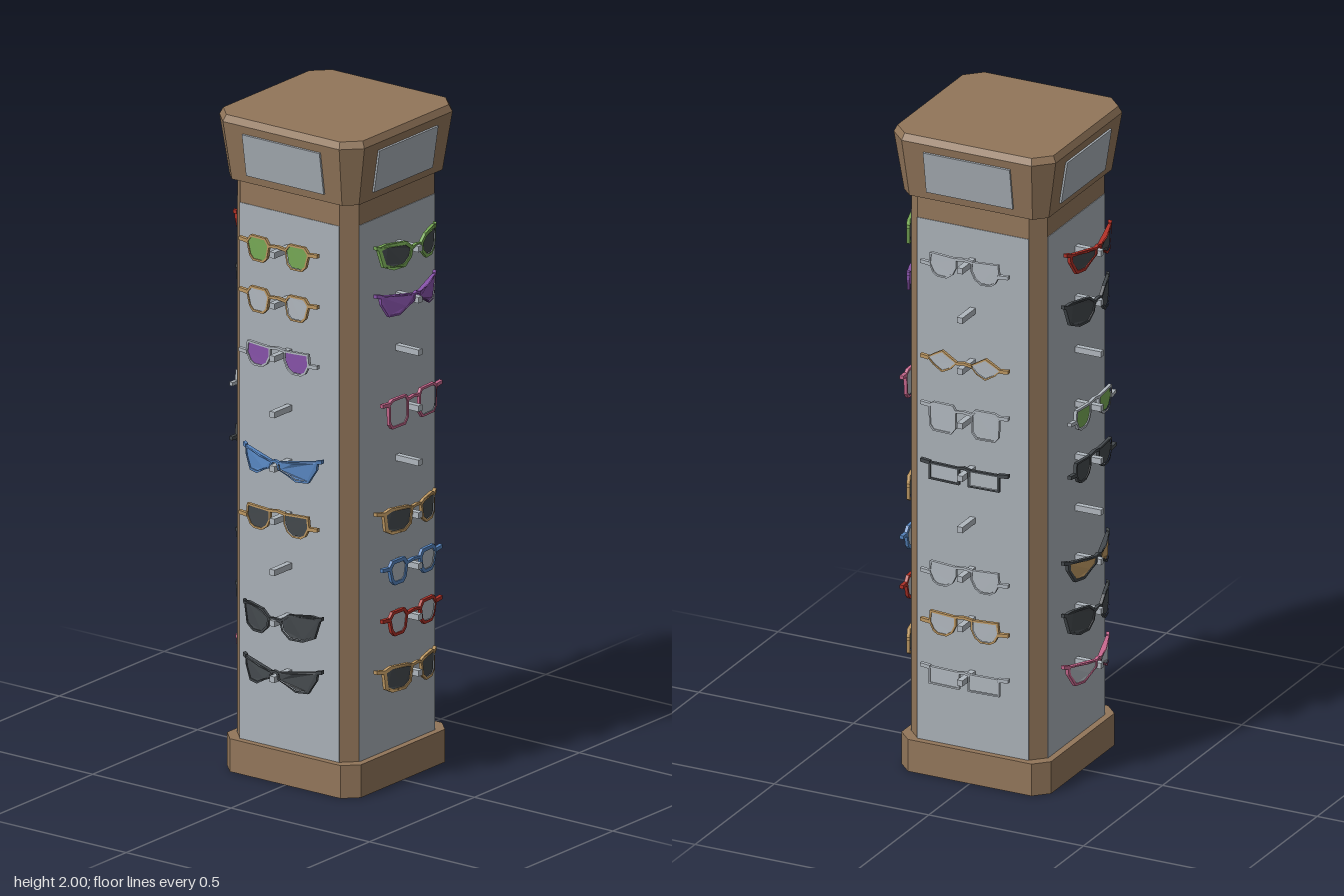
import * as THREE from 'three';
import { mergeGeometries } from 'three/addons/utils/BufferGeometryUtils.js';

const COLOURS = {
  wood: 0x92765a, panel: 0xa9b0b7, clear: 0xb0b7be, dark: 0x43484c, green: 0x76a855,
  purple: 0x8652a8, pink: 0xc4668c, tan: 0xbb9661, blue: 0x5684be, red: 0xae3027,
};

// Outline of the lens on the +x side, with the peg at 0, 0
const OUTLINES = {
  square: [[.025, .03], [.035, .045], [.1, .045], [.115, .035], [.112, -.03], [.1, -.045], [.04, -.045], [.025, -.025]],
  hex: [[.028, .015], [.042, .034], [.098, .034], [.113, .015], [.102, -.028], [.088, -.042], [.05, -.042], [.036, -.028]],
  cat: [[.02, .012], [.05, .03], [.07, .042], [.095, .028], [.12, .012], [.1, -.008], [.07, -.026], [.042, -.012]],
  sun: [[.018, .008], [.045, .03], [.115, .034], [.138, .026], [.122, -.036], [.09, -.049], [.05, -.046], [.025, -.022]],
  box: [[.018, .028], [.035, .036], [.1, .038], [.122, .026], [.116, -.03], [.095, -.042], [.05, -.04], [.026, -.022]],
  shield: [[.008, .018], [.06, .026], [.13, .034], [.128, .008], [.105, -.034], [.07, -.034], [.04, -.016], [.012, -.004]],
  rect: [[.014, .02], [.114, .02], [.114, -.034], [.014, -.034]],
  round: [[.024, .022], [.11, .026], [.114, -.008], [.1, -.036], [.085, -.045], [.055, -.045], [.036, -.032], [.024, -.008]],
};

// Peg heights and, for each side: outline, frame, lens, rim width, wrap
const HEIGHTS = [1.63, 1.475, 1.315, 1.145, .98, .82, .665, .51, .34];
const SIDES = [
  ['front', 0, [
    ['sun', 'green', 'dark', .011, 2], ['shield', 'purple', 'purple', .005, 2], null,
    ['square', 'pink', 'clear', .007, .3], null, ['box', 'tan', 'dark', .009, 2],
    ['hex', 'blue', 'clear', .011, .3], ['hex', 'red', 'clear', .009, .3], ['box', 'tan', 'dark', .009, 2]]],
  ['left', Math.PI / 2, [
    ['round', 'clear', 'clear', .005, .3], null, ['cat', 'tan', 'clear', .006, .3],
    ['square', 'clear', 'clear', .005, .3], ['rect', 'dark', 'clear', .006, .3], null,
    ['round', 'clear', 'clear', .005, .3], ['round', 'tan', 'clear', .006, .3], ['rect', 'clear', 'clear', .005, .3]]],
  ['back', Math.PI, [
    ['shield', 'red', 'dark', .009, 1.6], ['sun', 'dark', 'dark', .007, 2], null,
    ['round', 'clear', 'green', .007, .3], ['round', 'dark', 'dark', .006, .3], null,
    ['shield', 'dark', 'tan', .008, 2], ['sun', 'dark', 'dark', .007, 2], ['shield', 'pink', 'clear', .007, 2]]],
  ['right', -Math.PI / 2, [
    ['hex', 'tan', 'green', .006, .3], ['hex', 'tan', 'clear', .006, .3], ['round', 'clear', 'purple', .006, .3],
    null, ['shield', 'blue', 'blue', .007, 2], ['round', 'tan', 'dark', .006, .3],
    null, ['sun', 'dark', 'dark', .007, 2], ['shield', 'dark', 'dark', .007, 2]]],
];

// Stack of square rings with cut corners, each given as [y, half width, corner cut]
function chamferedStack(rings) {
  const pos = [];
  const loops = rings.map(([y, h, c]) => {
    const k = h - c;
    return [[k, h], [h, k], [h, -k], [k, -h], [-k, -h], [-h, -k], [-h, k], [-k, h]].map(([x, z]) => [x, y, z]);
  });
  for (let r = 0; r + 1 < loops.length; r++) {
    for (let i = 0; i < 8; i++) {
      const j = (i + 1) % 8, a = loops[r], b = loops[r + 1];
      pos.push(...a[i], ...a[j], ...b[j], ...a[i], ...b[j], ...b[i]);
    }
  }
  const low = loops[0], top = loops[loops.length - 1];
  for (let i = 1; i < 7; i++) {
    pos.push(...top[0], ...top[i], ...top[i + 1]);
    pos.push(...low[0], ...low[i + 1], ...low[i]);
  }
  const g = new THREE.BufferGeometry();
  g.setAttribute('position', new THREE.Float32BufferAttribute(pos, 3));
  g.computeVertexNormals();
  return g;
}

const toPoints = (pts, s = 1) => pts.map(([x, y]) => new THREE.Vector2(x * s, y));

// Flat polygon with some depth, centred on z = 0
function plate(pts, depth, hole) {
  const shape = new THREE.Shape(pts);
  if (hole) shape.holes.push(new THREE.Path(hole));
  return new THREE.ExtrudeGeometry(shape, { depth, bevelEnabled: false }).translate(0, 0, -depth / 2);
}

// Curve a pair of glasses back towards the column at its ends
function wrapBack(parts, wrap) {
  const g = mergeGeometries(parts), p = g.attributes.position;
  for (let i = 0; i < p.count; i++) {
    const x = p.getX(i);
    p.setZ(i, p.getZ(i) + (wrap > 1 ? .29 : .278) - wrap * x * x);
  }
  g.computeVertexNormals();
  return g;
}

function makeGlasses([kind, frame, lens, rim, wrap], mats) {
  const group = new THREE.Group();
  group.name = 'glasses';
  const outline = OUTLINES[kind];
  const xs = outline.map((p) => p[0]), ys = outline.map((p) => p[1]);
  const x0 = Math.min(...xs), x1 = Math.max(...xs), y0 = Math.min(...ys), y1 = Math.max(...ys);
  const cx = (x0 + x1) / 2, cy = (y0 + y1) / 2;
  const kx = 1 - 2 * rim / (x1 - x0), ky = 1 - 2 * rim / (y1 - y0);
  const inner = outline.map(([x, y]) => [cx + (x - cx) * kx, cy + (y - cy) * ky]);
  const frames = [], lenses = [];
  const hinge = outline.find((p) => p[0] === x1)[1];
  for (const s of [1, -1]) {
    frames.push(plate(toPoints(outline, s), .01, toPoints(inner, s)));
    lenses.push(plate(toPoints(inner, s), .004));
    // Hinge stub at the outer end
    const hx = x1 - .004, hy = hinge - .002;
    frames.push(plate(toPoints([[hx, hy - .006], [.142, hy - .004], [.142, hy + .007], [hx, hy + .005]], s), .012));
  }
  // Bridge, arched over the nose
  const bx = x0 + .005, by = outline[0][1];
  frames.push(plate(toPoints([[-bx, by - .007], [0, by - .003], [bx, by - .007], [bx, by + .001], [0, by + .005], [-bx, by + .001]]), .01));
  const frameMesh = new THREE.Mesh(wrapBack(frames, wrap), mats[frame]);
  frameMesh.name = 'frame';
  const lensMesh = new THREE.Mesh(wrapBack(lenses, wrap), mats[lens]);
  lensMesh.name = 'lenses';
  group.add(frameMesh, lensMesh);
  return group;
}

export function createModel() {
  const model = new THREE.Group();
  model.name = 'glassesDisplayStand';
  const mats = {};
  for (const [name, color] of Object.entries(COLOURS)) {
    mats[name] = new THREE.MeshStandardMaterial({ color });
    mats[name].name = name;
  }
  const add = (parent, name, geometry, mat, x = 0, y = 0, z = 0) => {
    const mesh = new THREE.Mesh(geometry, mats[mat]);
    mesh.name = name;
    mesh.position.set(x, y, z);
    parent.add(mesh);
    return mesh;
  };

  // Wooden body
  add(model, 'base', chamferedStack([[0, .242, .042], [.1, .242, .042]]), 'wood');
  add(model, 'column', chamferedStack([[.1, .22, .04], [1.81, .22, .04]]), 'wood');
  add(model, 'header', chamferedStack([[1.8, .234, .035], [1.98, .262, .052], [2, .252, .047]]), 'wood');

  // Four sides with a panel, a header sign, pegs and glasses
  const pegGeometry = new THREE.BoxGeometry(.018, .018, .09);
  for (const [name, angle, items] of SIDES) {
    const side = new THREE.Group();
    side.name = name + 'Side';
    side.rotation.y = angle;
    add(side, 'panel', new THREE.BoxGeometry(.36, 1.63, .004), 'panel', 0, .915, .22);
    const sign = add(side, 'sign', new THREE.BoxGeometry(.28, .132, .008), 'panel', 0, 1.89, .25);
    sign.rotation.x = .155;
    items.forEach((item, i) => {
      add(side, 'peg', pegGeometry, 'clear', 0, HEIGHTS[i] - .002, .26);
      if (!item) return;
      const glasses = makeGlasses(item, mats);
      glasses.position.y = HEIGHTS[i];
      side.add(glasses);
    });
    model.add(side);
  }
  return model;
}
